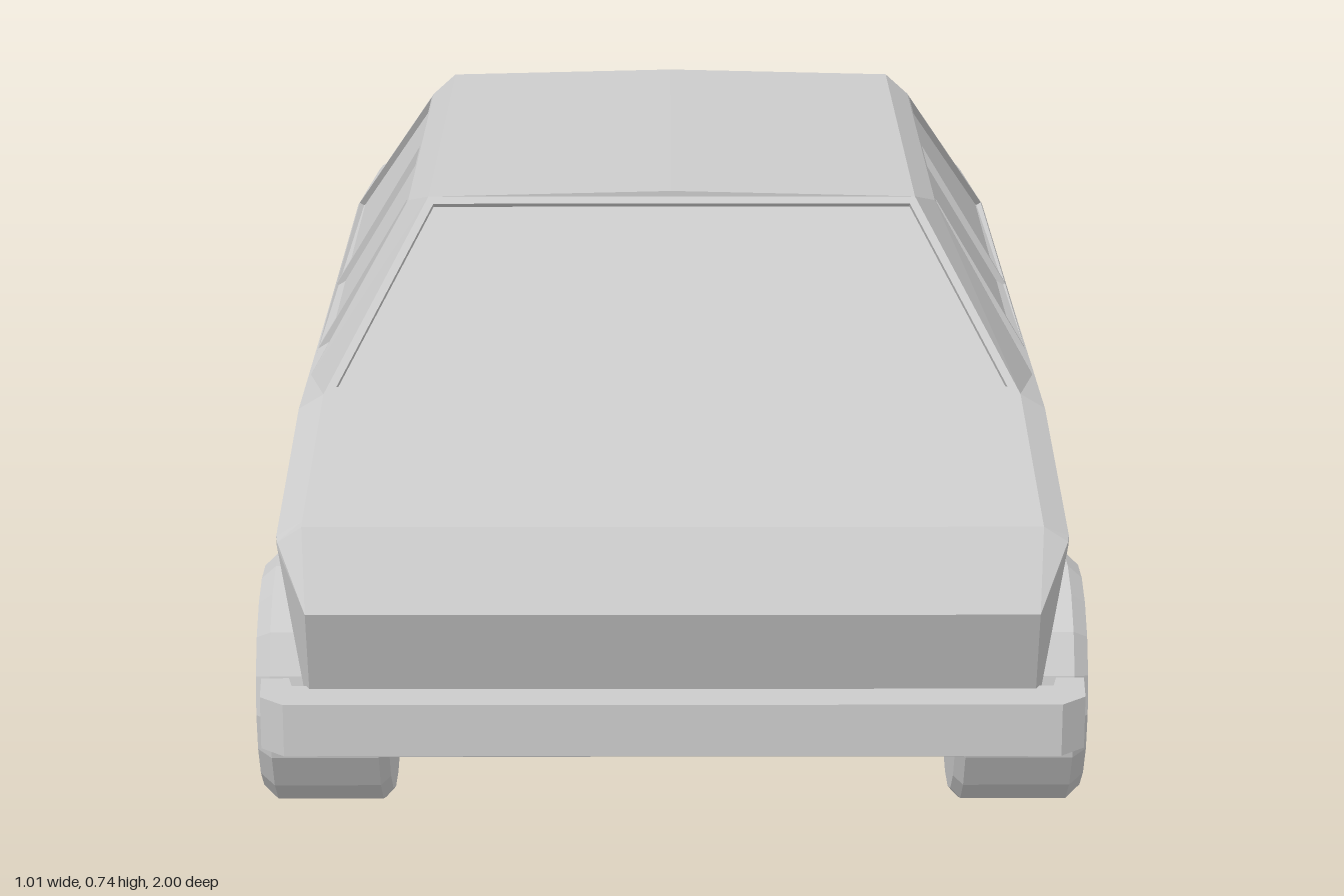
import * as THREE from 'three';

const material = new THREE.MeshStandardMaterial({ color: 0xcccccc, flatShading: true });
const FRONT_AXLE = 0.53, REAR_AXLE = -0.735, ARCH_R = 0.17, AXLE_Y = 0.155, SILL = 0.2;

function addMesh(parent, name, geometry) {
  const mesh = new THREE.Mesh(geometry, material);
  mesh.name = name;
  parent.add(mesh);
  return mesh;
}

// Flat-shaded geometry from a list of quads (or triangles), corners counter-clockwise
function facesToGeometry(faces) {
  const pos = [];
  for (const f of faces) {
    for (let i = 1; i < f.length - 1; i++) for (const p of [f[0], f[i], f[i + 1]]) pos.push(...p);
  }
  const g = new THREE.BufferGeometry();
  g.setAttribute('position', new THREE.Float32BufferAttribute(pos, 3));
  g.computeVertexNormals();
  return g;
}

// Piecewise linear height along the car, points given from rear to front
function heightAt(points, z) {
  for (let i = 1; i < points.length; i++) {
    const [z0, y0] = points[i - 1], [z1, y1] = points[i];
    if (z <= z1) return y0 + (y1 - y0) * (z - z0) / (z1 - z0);
  }
  return points[points.length - 1][1];
}

// Lower body: cross-sections lofted from tail to nose, wheel tunnels cut across
function bodyGeometry() {
  const top = [[-0.98, 0.395], [-0.925, 0.47], [-0.46, 0.53], [0.595, 0.54], [0.93, 0.485], [0.987, 0.40]];
  const bottom = [[-0.98, 0.395], [-0.91, SILL]];
  for (const axle of [REAR_AXLE, FRONT_AXLE]) {
    const start = Math.asin((SILL - AXLE_Y) / ARCH_R);
    for (let i = 0; i <= 14; i++) {
      const a = Math.PI - start - (Math.PI - 2 * start) * i / 14;
      bottom.push([axle + ARCH_R * Math.cos(a), AXLE_Y + ARCH_R * Math.sin(a)]);
    }
  }
  bottom.push([0.915, SILL], [0.987, 0.40]);
  const stations = [...new Set([...top, ...bottom].map(p => p[0]))].sort((a, b) => a - b);
  const width = y => 0.41 + 0.04 * Math.min(1, (y - SILL) / 0.26);

  const sections = stations.map(z => {
    const b = heightAt(bottom, z), t = heightAt(top, z);
    const shoulder = Math.max(b, t - 0.018);
    const waist = Math.max(b, Math.min(shoulder, 0.46));
    const k = 1 - 0.06 * Math.max(0, (Math.abs(z) - 0.925) / 0.06);
    const half = [b, waist, shoulder].map(y => [width(y) * k, y, z]);
    half.push([Math.min(0.42, half[2][0]), t, z]);
    return [...half, ...half.map(([x, y]) => [-x, y, z]).reverse()];
  });
  const faces = [];
  for (let i = 0; i < sections.length - 1; i++) {
    const a = sections[i], b = sections[i + 1], n = a.length;
    for (let j = 0; j < n; j++) {
      const m = (j + 1) % n;
      faces.push([a[j], a[m], b[m], b[j]]);
    }
  }
  return facesToGeometry(faces);
}

// Window opening: thin frame, reveal and a sunken pane inside four corners
function windowFaces(corners, margin, depth) {
  const c = corners.map(p => new THREE.Vector3(...p));
  const normal = c[1].clone().sub(c[0]).cross(c[3].clone().sub(c[0])).normalize();
  const inner = c.map((p, i) => {
    const toNext = c[(i + 1) % 4].clone().sub(p).normalize();
    const toLast = c[(i + 3) % 4].clone().sub(p).normalize();
    const sine = toNext.clone().cross(toLast).length();
    return p.clone().addScaledVector(toNext.add(toLast), margin / sine);
  });
  const sunk = inner.map(p => p.clone().addScaledVector(normal, -depth).toArray());
  const rim = inner.map(p => p.toArray());
  const frame = [];
  for (let i = 0; i < 4; i++) {
    const j = (i + 1) % 4;
    frame.push([corners[i], corners[j], rim[j], rim[i]], [rim[i], rim[j], sunk[j], sunk[i]]);
  }
  return { frame, pane: sunk };
}

function buildCabin() {
  const cabin = new THREE.Group();
  cabin.name = 'cabin';
  const shell = [];
  const addWindow = (name, corners, margin, depth) => {
    const w = windowFaces(corners, margin, depth);
    shell.push(...w.frame);
    addMesh(cabin, name, facesToGeometry([w.pane]));
  };

  addWindow('windshield',
    [[-0.42, 0.54, 0.595], [0.42, 0.54, 0.595], [0.30, 0.74, 0.415], [-0.30, 0.74, 0.415]], 0.01, 0.008);
  addWindow('rearWindow',
    [[0.42, 0.53, -0.46], [-0.42, 0.53, -0.46], [-0.30, 0.74, -0.28], [0.30, 0.74, -0.28]], 0.01, 0.008);

  // Side window dividers: z at the belt line, z at the roof
  const dividers = [[0.46, 0.335], [0.328, 0.306], [0.02, 0.02], [-0.425, -0.268]];
  const names = ['QuarterWindow', 'FrontDoorWindow', 'RearDoorWindow'];
  for (const s of [1, -1]) {
    const side = s > 0 ? 'left' : 'right';
    const mirror = f => {
      const g = f.map(([x, y, z]) => [x * s, y, z]);
      return s > 0 ? g : g.reverse();
    };
    names.forEach((name, i) => {
      const [b0, t0] = dividers[i], [b1, t1] = dividers[i + 1];
      addWindow(side + name, mirror(
        [[0.45, 0.517, b0], [0.45, 0.517, b1], [0.33, 0.715, t1], [0.33, 0.715, t0]]), 0.005, 0.008);
    });
    shell.push(...[
      // front and rear pillars
      [[0.42, 0.54, 0.595], [0.45, 0.517, 0.46], [0.33, 0.715, 0.335], [0.30, 0.74, 0.415]],
      [[0.45, 0.517, -0.425], [0.42, 0.53, -0.46], [0.30, 0.74, -0.28], [0.33, 0.715, -0.268]],
      // roof edge and crowned roof half with its end slivers
      [[0.33, 0.715, 0.335], [0.33, 0.715, -0.268], [0.30, 0.74, -0.28], [0.30, 0.74, 0.415]],
      [[0.30, 0.74, 0.415], [0.30, 0.74, -0.28], [0, 0.747, -0.28], [0, 0.747, 0.415]],
      [[0, 0.74, 0.415], [0.30, 0.74, 0.415], [0, 0.747, 0.415]],
      [[0.30, 0.74, -0.28], [0, 0.74, -0.28], [0, 0.747, -0.28]],
    ].map(mirror));
  }
  addMesh(cabin, 'roofAndPillars', facesToGeometry(shell));
  return cabin;
}

// Wrap-around bumper: U-shaped plan extruded upwards, foot pulled in by rake
function bumperGeometry(y0, y1, rake) {
  const half = [[0.44, 1.0], [0.468, 0.975], [0.472, 0.915], [0.44, 0.915], [0.435, 0.94], [0.40, 0.94]];
  const plan = [...half, ...half.map(([x, z]) => [-x, z]).reverse()];
  const shape = new THREE.Shape(plan.map(p => new THREE.Vector2(...p)));
  const g = new THREE.ExtrudeGeometry(shape, { depth: y1 - y0, bevelEnabled: false });
  g.rotateX(Math.PI / 2).translate(0, y1, 0);
  const p = g.attributes.position;
  for (let i = 0; i < p.count; i++) p.setZ(i, p.getZ(i) - rake * (y1 - p.getY(i)) / (y1 - y0));
  g.computeVertexNormals();
  return g;
}

// Wheel turned about its axle: closed inner side, bevelled tyre, sunken hub
function wheelGeometry() {
  const profile = [[0, -0.08], [0.142, -0.08], [0.155, -0.068], [0.155, 0.062], [0.138, 0.08],
    [0.104, 0.08], [0.098, 0.068], [0, 0.068]];
  const g = new THREE.LatheGeometry(profile.map(p => new THREE.Vector2(...p)), 18);
  return g.rotateZ(-Math.PI / 2);
}

export function createModel() {
  const car = new THREE.Group();
  car.name = 'car';
  addMesh(car, 'body', bodyGeometry());
  car.add(buildCabin());
  addMesh(car, 'frontBumper', bumperGeometry(0.235, 0.297, 0));
  addMesh(car, 'rearBumper', bumperGeometry(0.22, 0.322, 0.02)).rotation.y = Math.PI;

  const wheel = wheelGeometry();
  for (const [end, z] of [['front', FRONT_AXLE], ['rear', REAR_AXLE]]) {
    for (const [side, s] of [['Left', 1], ['Right', -1]]) {
      const mesh = addMesh(car, end + side + 'Wheel', wheel);
      mesh.position.set(0.425 * s, AXLE_Y, z);
      if (s < 0) mesh.rotation.y = Math.PI;
    }
  }
  return car;
}
